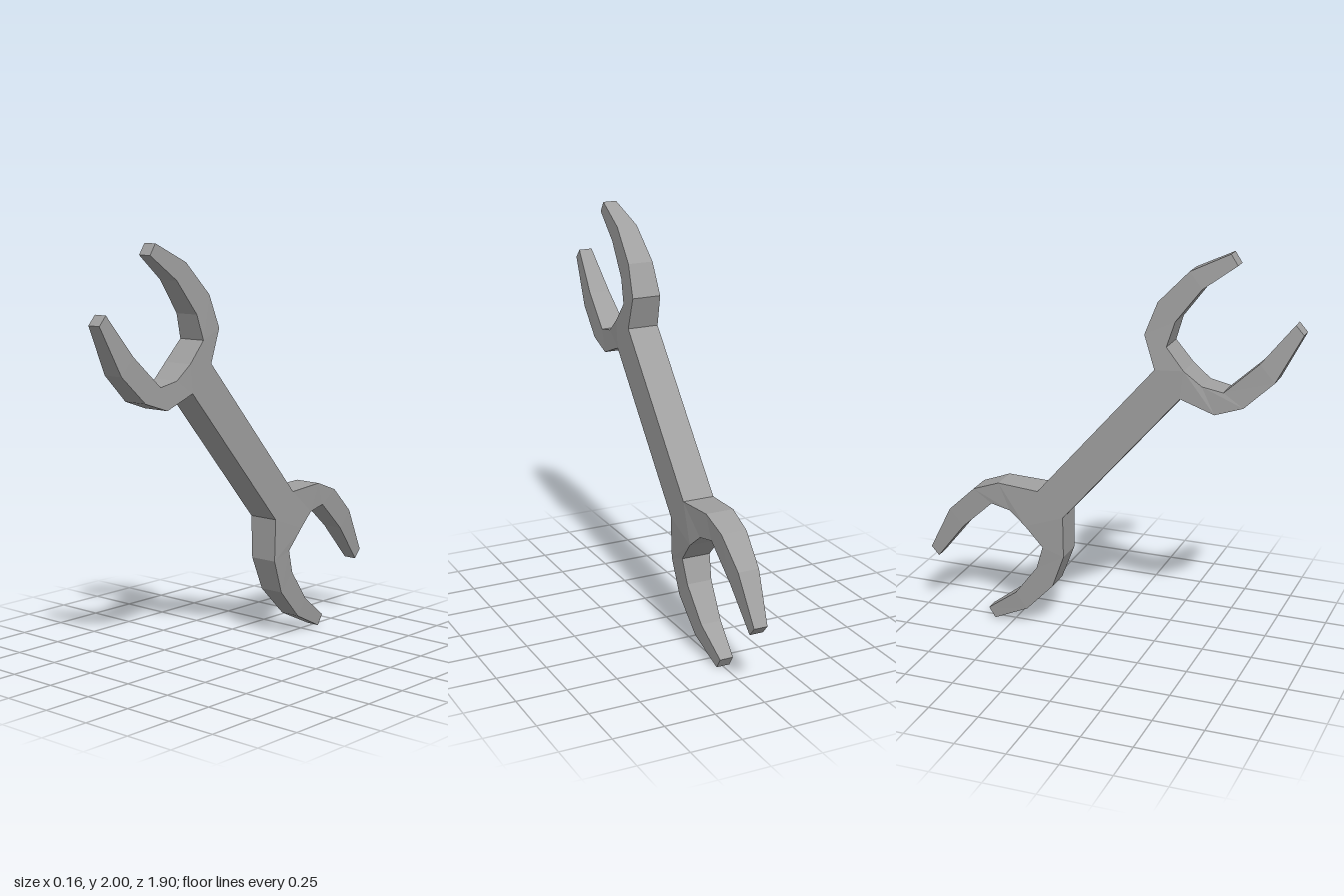
import * as THREE from 'three';

const material = new THREE.MeshStandardMaterial({ color: 0xa0a0a0, flatShading: true });

// Cross-section of a bar: outer and inner corner (z, y), half thickness and x offset
const section = ([oz, oy, iz, iy, half, mid]) => [
  new THREE.Vector3(mid + half, oy, oz),
  new THREE.Vector3(mid + half, iy, iz),
  new THREE.Vector3(mid - half, iy, iz),
  new THREE.Vector3(mid - half, oy, oz),
];

// Joins four-cornered sections into a flat-sided bar; keep() can leave walls open
function loft(name, stations, capped, keep = () => true) {
  const rings = stations.map(section);
  const positions = [];
  const tri = (a, b, c) => {
    if (new THREE.Triangle(a, b, c).getArea() < 1e-7) return;
    for (const p of [a, b, c]) positions.push(p.x, p.y, p.z);
  };
  const quad = (a, b, c, d) => { tri(a, b, c); tri(a, c, d); };
  for (let k = 0; k < rings.length - 1; k++) {
    const a = rings[k], b = rings[k + 1];
    for (let j = 0; j < 4; j++) {
      const n = (j + 1) % 4;
      if (keep(k, j)) quad(a[j], a[n], b[n], b[j]);
    }
  }
  if (capped) {
    quad(...[...rings[0]].reverse());
    quad(...rings[rings.length - 1]);
  }
  const geometry = new THREE.BufferGeometry();
  geometry.setAttribute('position', new THREE.Float32BufferAttribute(positions, 3));
  geometry.computeVertexNormals();
  const mesh = new THREE.Mesh(geometry, material);
  mesh.name = name;
  return mesh;
}

const NECK = 4; // station index where the shaft meets the jaw
const HALF = 0.079, MID = -0.002;

// Upper jaw from tip to tip, thinning towards the tips
const upper = [
  [0.60, 2.00, 0.634, 1.948, 0.034, 0.017],
  [0.414, 1.91, 0.475, 1.83, 0.052, 0.010],
  [0.268, 1.757, 0.353, 1.67, 0.064, 0.007],
  [0.208, 1.60, 0.316, 1.55, 0.073, 0.004],
  [0.263, 1.438, 0.405, 1.447, HALF, MID],
  [0.39, 1.31, 0.405, 1.447, HALF, MID],
  [0.553, 1.247, 0.49, 1.378, 0.070, 0.003],
  [0.689, 1.292, 0.592, 1.357, 0.064, 0.006],
  [0.83, 1.425, 0.756, 1.508, 0.053, 0.010],
  [0.95, 1.655, 0.91, 1.70, 0.034, 0.018],
];

// Lower jaw: the same shape turned half round, with a wider back and its own neck corners
const lower = upper.map(([oz, oy, iz, iy, half]) => [-oz, 2 - oy, -iz, 2 - iy, half, -0.002]);
const lowerBack = [[-0.204, 0.414], [-0.204, 0.626], [-0.337, 0.748], [-0.55, 0.76]];
lowerBack.forEach((corner, i) => lower[NECK - 1 + i].splice(0, 2, ...corner));

export function createModel() {
  const group = new THREE.Group();
  group.name = 'openEndedSpanner';

  // The outer wall stays open where the shaft joins
  const openAtNeck = (k, j) => !(k === NECK && j === 3);
  group.add(loft('upperJaw', upper, true, openAtNeck));
  group.add(loft('lowerJaw', lower, true, openAtNeck));

  // Straight shaft between the two necks
  const corner = (jaw, i) => jaw[i].slice(0, 2);
  group.add(loft('shaft', [
    [...corner(upper, NECK), ...corner(upper, NECK + 1), HALF, MID],
    [...corner(lower, NECK + 1), ...corner(lower, NECK), HALF, MID],
  ], false));

  return group;
}
